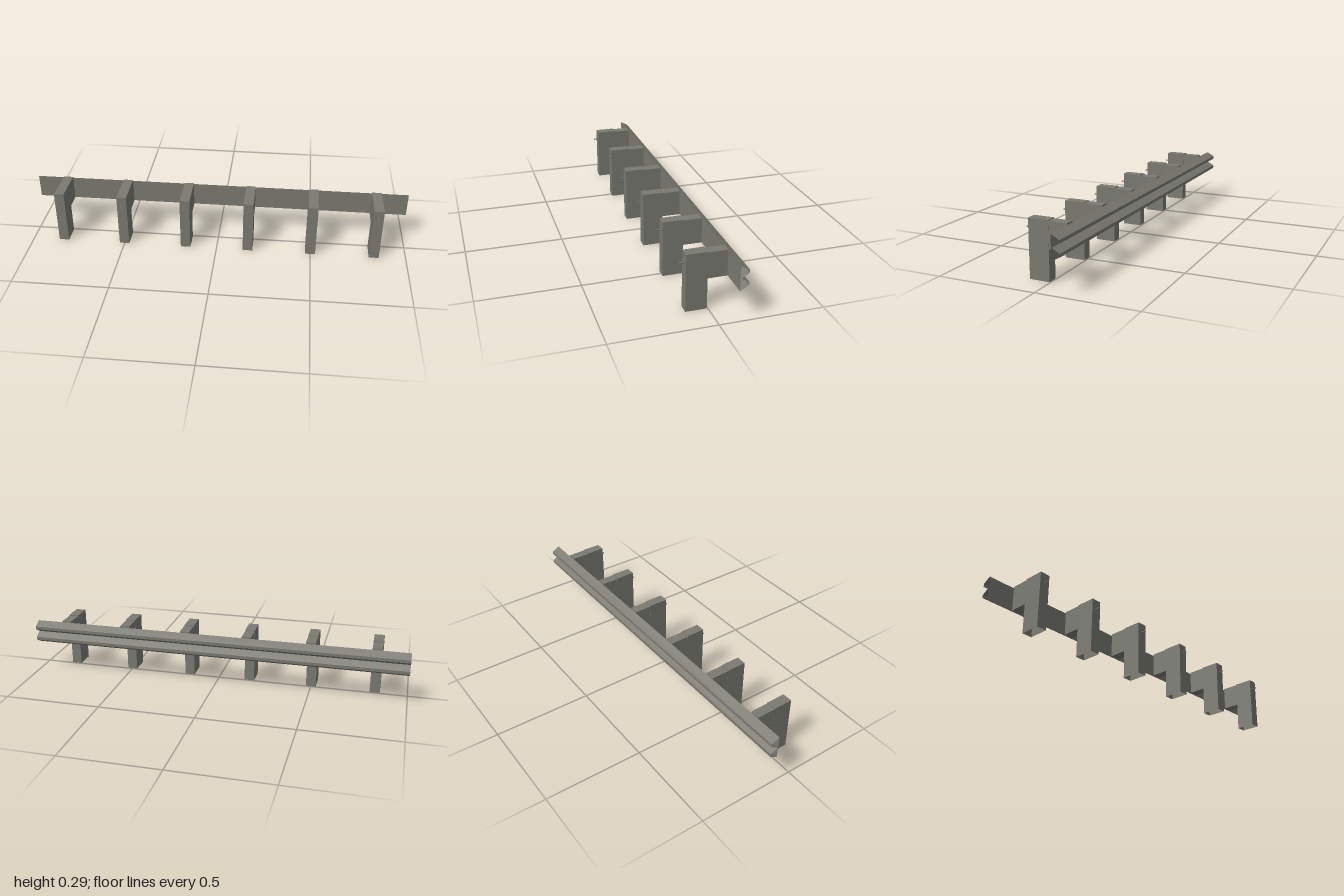
import * as THREE from 'three';

const steel = new THREE.MeshStandardMaterial({ color: 0x7a7a72, side: THREE.DoubleSide, flatShading: true });
steel.name = 'grey steel';

// Axis-aligned box given by its limits
function boxBetween(name, x, width, [y0, y1], [z0, z1]) {
  const mesh = new THREE.Mesh(new THREE.BoxGeometry(width, y1 - y0, z1 - z0), steel);
  mesh.position.set(x, (y0 + y1) / 2, (z0 + z1) / 2);
  mesh.name = name;
  return mesh;
}

// Open-ended sheet: a [z, y] profile swept along x
function sweepAlongX(profile, halfLength) {
  const v = [];
  for (let i = 0; i < profile.length; i++) {
    const [z0, y0] = profile[i];
    const [z1, y1] = profile[(i + 1) % profile.length];
    const a = [-halfLength, y0, z0], b = [halfLength, y0, z0];
    const c = [halfLength, y1, z1], d = [-halfLength, y1, z1];
    v.push(...a, ...c, ...b, ...a, ...d, ...c);
  }
  const g = new THREE.BufferGeometry();
  g.setAttribute('position', new THREE.Float32BufferAttribute(v, 3));
  g.computeVertexNormals();
  return g;
}

export function createModel() {
  const model = new THREE.Group();
  model.name = 'guardRail';

  // Double-ridged rail with a flat inner face, ridges towards the back
  const inner = -0.089, outer = -0.13;
  const profile = [
    [inner, 0.153], [inner, 0.275],
    [outer, 0.252], [outer, 0.236],
    [inner - 0.004, 0.214],
    [outer, 0.192], [outer, 0.176],
  ].reverse();
  const rail = new THREE.Mesh(sweepAlongX(profile, 1), steel);
  rail.name = 'rail';
  model.add(rail);

  // Six posts, each with a spacer block and a bolt
  for (let i = 0; i < 6; i++) {
    const x = (i - 2.5) / 3;
    const support = new THREE.Group();
    support.name = 'support';

    // Post is hollow underneath: drop the bottom face
    const post = boxBetween('post', x, 0.052, [0, 0.286], [0.005, 0.107]);
    const index = Array.from(post.geometry.index.array);
    index.splice(18, 6);
    post.geometry.setIndex(index);
    post.geometry.clearGroups();

    const spacer = boxBetween('spacerBlock', x, 0.05, [0.153, 0.282], [-0.088, 0.005]);

    const bolt = new THREE.Mesh(new THREE.CylinderGeometry(0.004, 0.004, 0.025, 8), steel);
    bolt.rotation.x = Math.PI / 2;
    bolt.position.set(x, 0.237, 0.1175);
    bolt.name = 'bolt';

    support.add(post, spacer, bolt);
    model.add(support);
  }
  return model;
}
